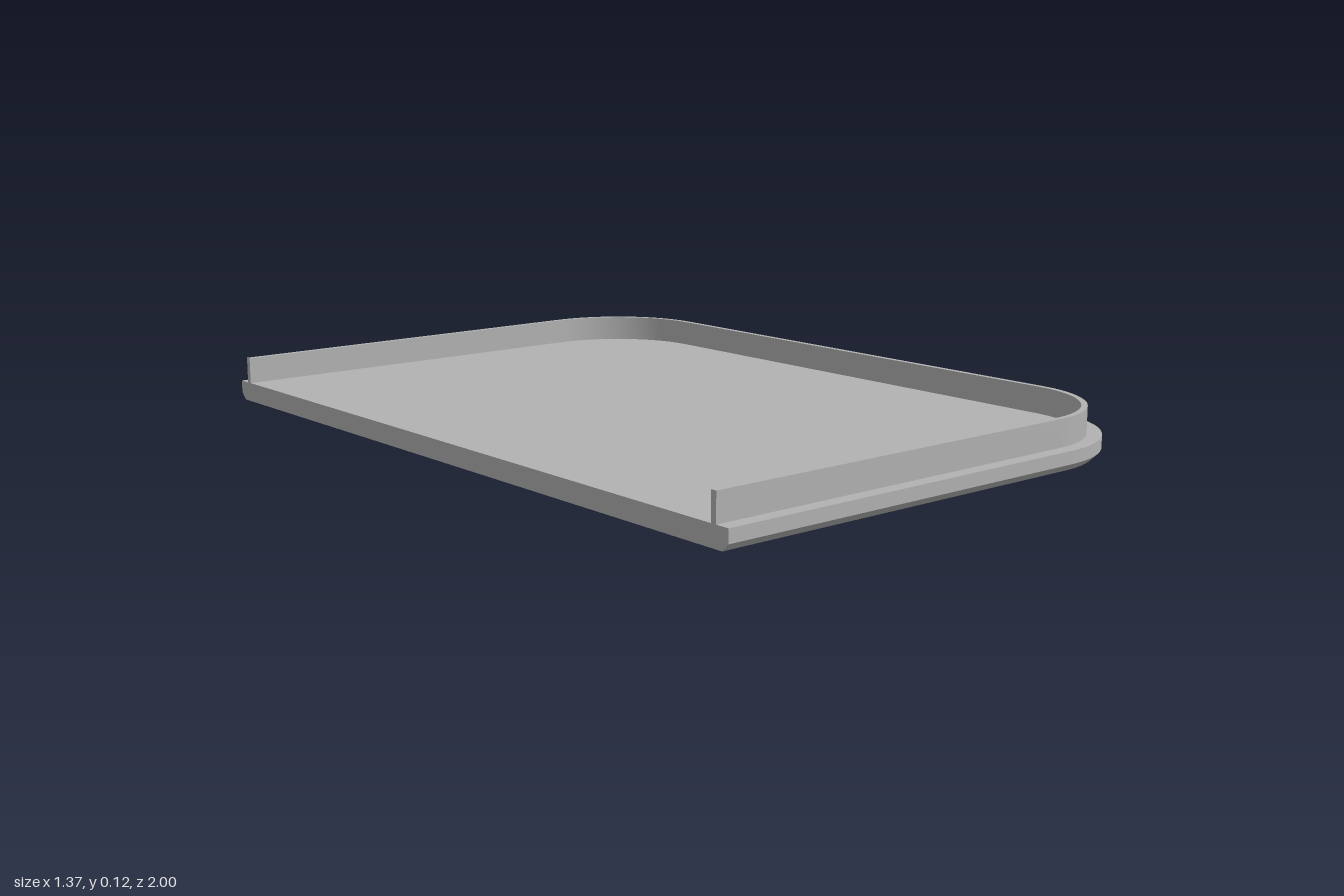
import * as THREE from 'three';
import { toCreasedNormals } from 'three/addons/utils/BufferGeometryUtils.js';

const HALF_X = 0.685, HALF_Z = 1, RADIUS = 0.32;
const BASE_TOP = 0.05, CHAMFER = 0.018, RIM_TOP = 0.118;
const HOLES = [[-0.04, -0.85], [0.36, -0.85]], HOLE_R = 0.03, HOLE_DEPTH = 0.038;

// U-shaped outline (x, z) from the front open end round to the back open end
function outline(inset, steps = 24) {
  const r = RADIUS - inset, cx = HALF_X - RADIUS, cz = HALF_Z - RADIUS;
  const pts = [new THREE.Vector2(-HALF_X, HALF_Z - inset)];
  for (const [side, start] of [[1, Math.PI / 2], [-1, 0]]) {
    for (let i = 0; i <= steps; i++) {
      const a = start - (i / steps) * Math.PI / 2;
      pts.push(new THREE.Vector2(cx + r * Math.cos(a), side * cz + r * Math.sin(a)));
    }
  }
  pts.push(new THREE.Vector2(-HALF_X, -HALF_Z + inset));
  return pts;
}

// Side wall through rings of [inset, height]
function wall(rings) {
  const loops = rings.map(([inset, y]) => outline(inset).map(p => [p.x, y, p.y]));
  const pos = [];
  for (let j = 0; j + 1 < loops.length; j++) {
    const lo = loops[j], hi = loops[j + 1];
    for (let i = 0; i + 1 < lo.length; i++) {
      pos.push(...lo[i], ...lo[i + 1], ...hi[i], ...lo[i + 1], ...hi[i + 1], ...hi[i]);
    }
  }
  const g = new THREE.BufferGeometry();
  g.setAttribute('position', new THREE.Float32BufferAttribute(pos, 3));
  return toCreasedNormals(g, 0.5);
}

export function createModel() {
  const group = new THREE.Group();
  const grey = new THREE.MeshStandardMaterial({ color: 0xb2b2b2 });
  grey.name = 'plain grey';
  const add = (name, geometry) => {
    const mesh = new THREE.Mesh(geometry, grey);
    mesh.name = name;
    group.add(mesh);
    return mesh;
  };

  // Base plate with a chamfered lower edge on its three outer sides
  add('baseSides', wall([[CHAMFER, 0], [0, CHAMFER], [0, BASE_TOP]]));
  add('floor', new THREE.ShapeGeometry(new THREE.Shape(outline(0)))
    .rotateX(-Math.PI / 2).translate(0, BASE_TOP, 0));

  const under = new THREE.Shape(outline(CHAMFER));
  for (const [x, z] of HOLES) {
    under.holes.push(new THREE.Path().absarc(x, z, HOLE_R, 0, Math.PI * 2));
  }
  add('underside', new THREE.ShapeGeometry(under, 16).rotateX(Math.PI / 2));

  // Flat end face on the open side
  const w = HALF_Z - CHAMFER;
  const end = new THREE.Shape([[-w, 0], [w, 0], [HALF_Z, CHAMFER], [HALF_Z, BASE_TOP],
    [-HALF_Z, BASE_TOP], [-HALF_Z, CHAMFER]].map(p => new THREE.Vector2(...p)));
  add('openEdge', new THREE.ShapeGeometry(end).rotateY(-Math.PI / 2).translate(-HALF_X, 0, 0));

  // Blind holes in the underside
  for (const [x, z] of HOLES) {
    const profile = [[0, HOLE_DEPTH], [HOLE_R, HOLE_DEPTH], [HOLE_R, 0]].map(p => new THREE.Vector2(...p));
    add('blindHole', toCreasedNormals(new THREE.LatheGeometry(profile, 32), 0.5)).position.set(x, 0, z);
  }

  // Thin upright rim, open along one side
  const rim = new THREE.Shape([...outline(0.036), ...outline(0.051).reverse()]);
  add('rim', toCreasedNormals(new THREE.ExtrudeGeometry(rim, { depth: RIM_TOP - BASE_TOP, bevelEnabled: false })
    .rotateX(Math.PI / 2).translate(0, RIM_TOP, 0), 0.5));

  return group;
}
